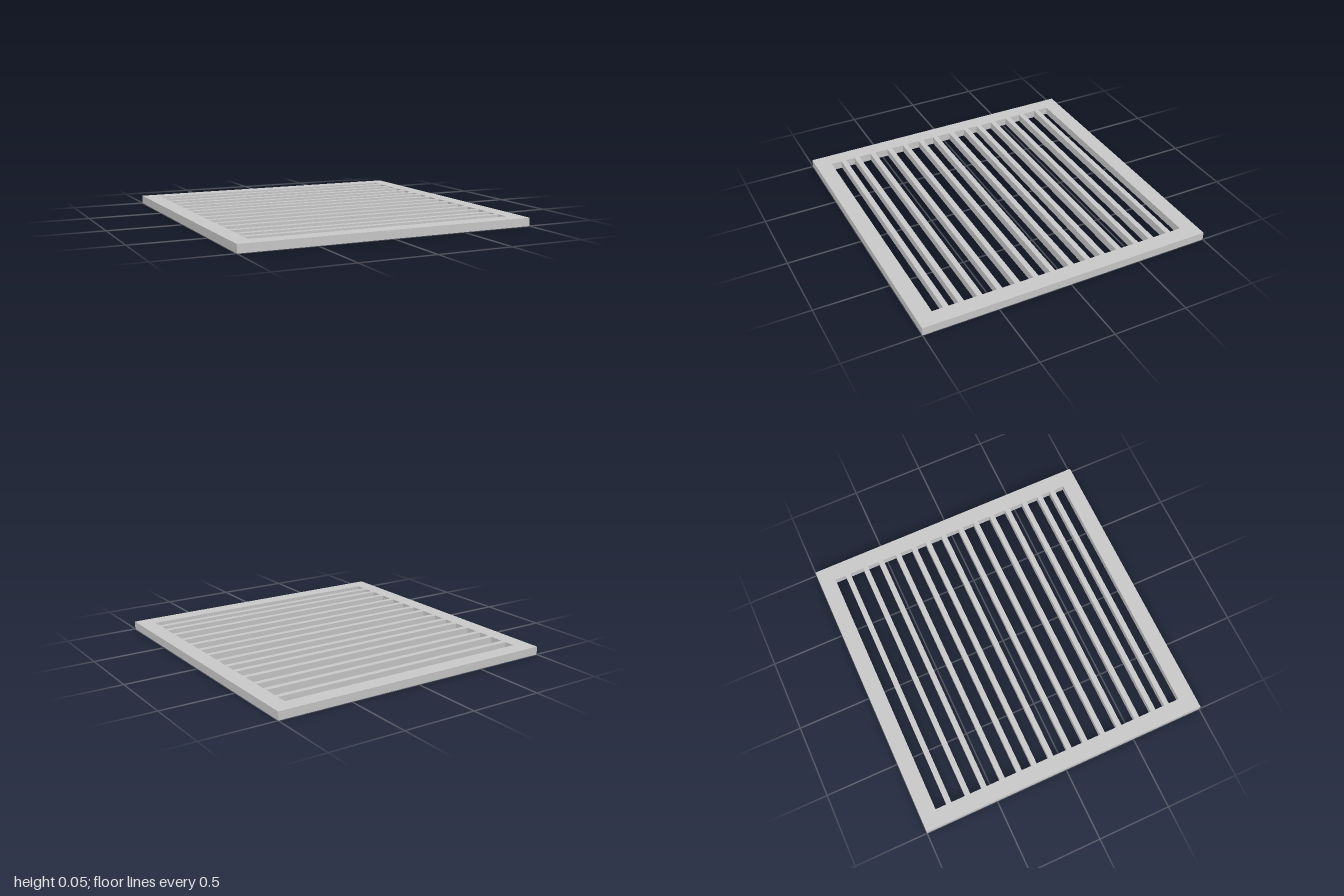
import * as THREE from 'three';

const HEIGHT = 0.055;
const INNER = 0.89;
const SLAT = 0.037;
// uneven slat spacing, back to front
const SLAT_Z = [-0.796, -0.663, -0.545, -0.415, -0.292, -0.184, -0.062, 0.072, 0.19, 0.318, 0.441, 0.575, 0.698, 0.799];

// square outline used for the frame and its opening
function square(target, r) {
  target.moveTo(-r, -r);
  target.lineTo(r, -r);
  target.lineTo(r, r);
  target.lineTo(-r, r);
  target.closePath();
  return target;
}

export function createModel() {
  const group = new THREE.Group();
  group.name = 'ventGrille';
  const material = new THREE.MeshStandardMaterial({ color: 0xcccccc });

  // flat square frame with one opening, laid on the ground
  const outline = square(new THREE.Shape(), 1);
  outline.holes.push(square(new THREE.Path(), INNER));
  const frameGeometry = new THREE.ExtrudeGeometry(outline, { depth: HEIGHT, bevelEnabled: false });
  frameGeometry.rotateX(-Math.PI / 2);
  const frame = new THREE.Mesh(frameGeometry, material);
  frame.name = 'frame';
  group.add(frame);

  // slats across the opening, flush with the frame
  const slats = new THREE.Group();
  slats.name = 'slats';
  const slatGeometry = new THREE.BoxGeometry(INNER * 2, HEIGHT, SLAT);
  SLAT_Z.forEach((z, i) => {
    const slat = new THREE.Mesh(slatGeometry, material);
    slat.name = `slat${i + 1}`;
    slat.position.set(0, HEIGHT / 2, z);
    slats.add(slat);
  });
  group.add(slats);

  return group;
}
